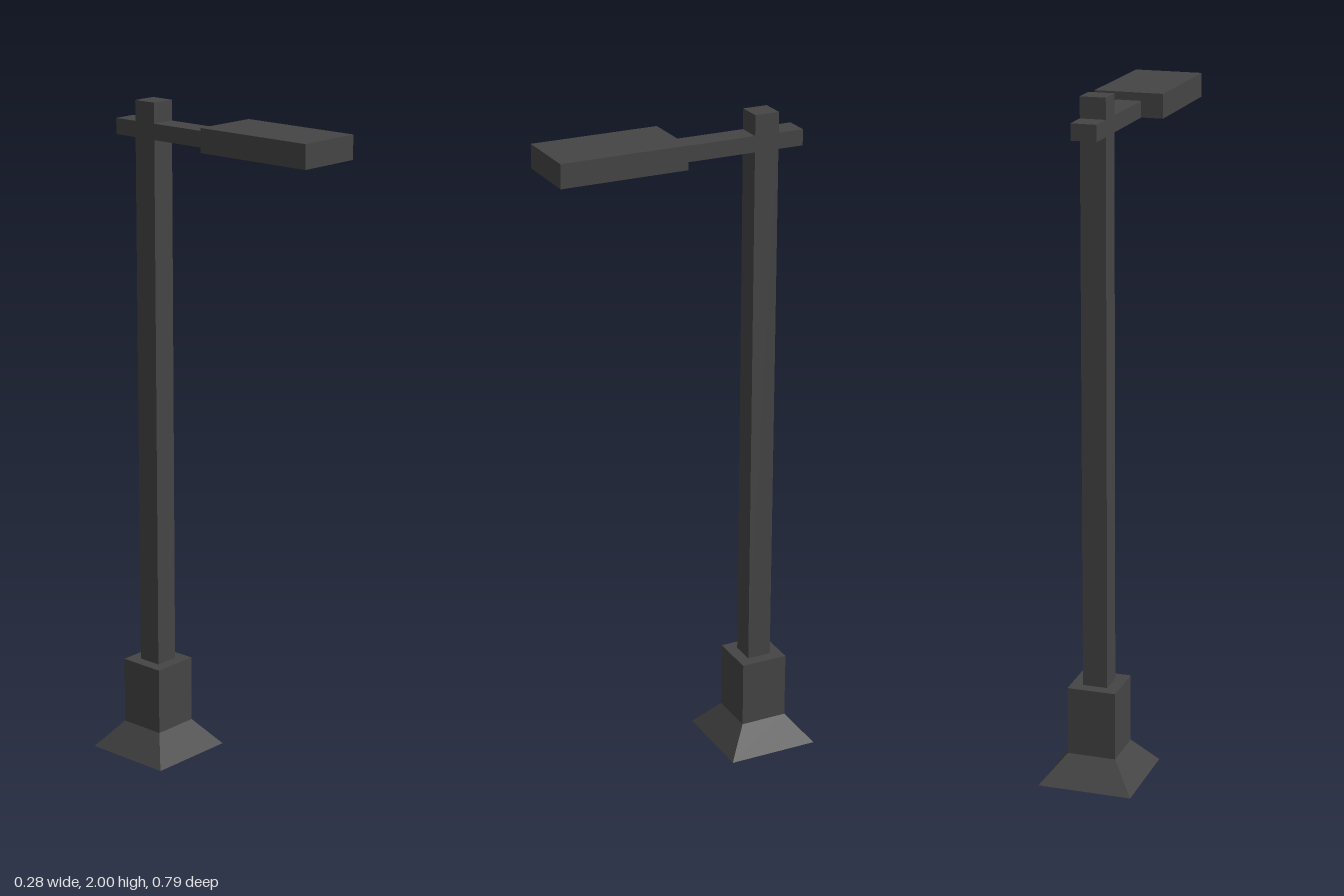
import * as THREE from 'three';

export function createModel() {
  const model = new THREE.Group();
  model.name = 'streetLamp';

  const metal = new THREE.MeshStandardMaterial({ color: 0x454545 });
  metal.name = 'dark grey metal';
  const glass = new THREE.MeshStandardMaterial({ color: 0xc4c4c4 });
  glass.name = 'pale grey light panel';

  const poleZ = -0.257;

  function add(name, geometry, material, x, y, z) {
    const mesh = new THREE.Mesh(geometry, material);
    mesh.name = name;
    mesh.position.set(x, y, z);
    model.add(mesh);
    return mesh;
  }

  // Box given by its extents along y and z, centred on x
  function block(name, width, y0, y1, z0, z1, material = metal) {
    return add(name, new THREE.BoxGeometry(width, y1 - y0, z1 - z0), material,
      0, (y0 + y1) / 2, (z0 + z1) / 2);
  }

  // Flared square foot: four-sided frustum with flat faces
  const footHeight = 0.083;
  const foot = new THREE.CylinderGeometry(0.0725 * Math.SQRT2, 0.14 * Math.SQRT2, footHeight, 4)
    .rotateY(Math.PI / 4).toNonIndexed();
  foot.computeVertexNormals();
  add('foot', foot, metal, 0, footHeight / 2, poleZ);

  // Upright parts
  block('plinth', 0.145, footHeight, 0.287, poleZ - 0.0725, poleZ + 0.0725);
  block('pole', 0.074, 0.287, 2, poleZ - 0.037, poleZ + 0.037);

  // Arm passing through the pole, with a short stub behind
  block('arm', 0.074, 1.893, 1.94, -0.371, 0.017);

  // Lamp head: slab above a shallow rim that surrounds the light panel
  const width = 0.202, z0 = 0.017, z1 = 0.397, bottom = 1.893, recess = 0.01, rim = 0.02;
  block('lampHousing', width, bottom + recess, 1.963, z0, z1);

  const rectangle = (path, w, h) => path
    .moveTo(-w / 2, -h / 2).lineTo(w / 2, -h / 2)
    .lineTo(w / 2, h / 2).lineTo(-w / 2, h / 2).closePath();
  const length = z1 - z0;
  const outline = rectangle(new THREE.Shape(), width, length);
  outline.holes.push(rectangle(new THREE.Path(), width - 2 * rim, length - 2 * rim));
  const rimGeometry = new THREE.ExtrudeGeometry(outline, { depth: recess, bevelEnabled: false })
    .rotateX(-Math.PI / 2);
  add('lampRim', rimGeometry, metal, 0, bottom, (z0 + z1) / 2);

  block('lightPanel', width - 2 * rim, bottom + recess - 0.002, bottom + recess,
    z0 + rim, z1 - rim, glass);

  return model;
}
